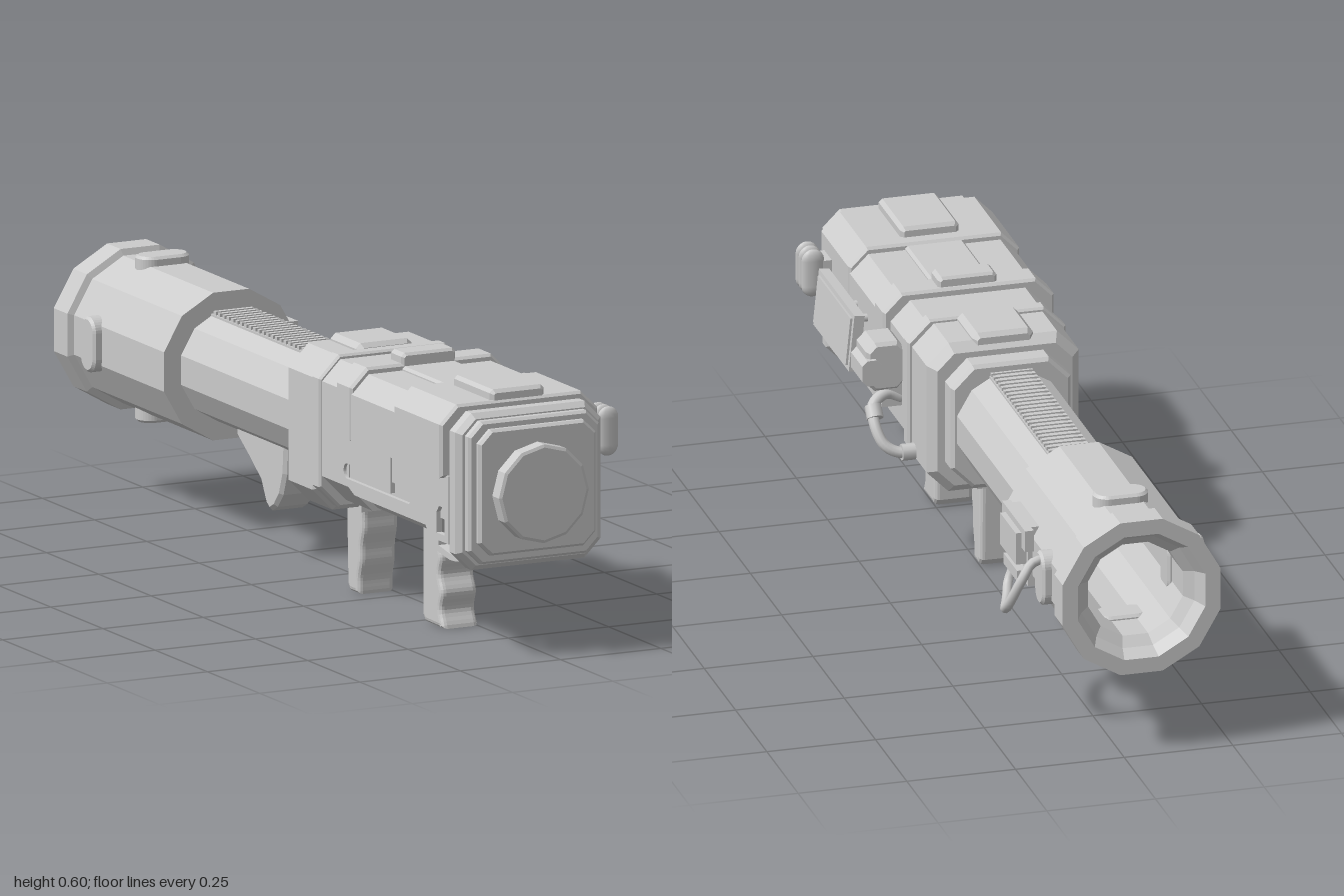
import * as THREE from 'three';

const CX = -0.04, CY = 0.379; // bore axis
const mat = new THREE.MeshStandardMaterial({ color: 0xcccccc });
const flat = new THREE.MeshStandardMaterial({ color: 0xcccccc, flatShading: true });

export function createModel() {
  const group = new THREE.Group();

  const add = (name, geo, m = mat) => {
    const mesh = new THREE.Mesh(geo, m);
    mesh.name = name;
    group.add(mesh);
    return mesh;
  };
  const poly = (pts) => new THREE.Shape(pts.map(([a, b]) => new THREE.Vector2(a, b)));

  // Box with chamfered long edges, running along z (ct, cb: top and bottom chamfers)
  const prism = (name, x0, x1, y0, y1, z0, z1, ct, cb = ct, bevel = 0) => {
    const shape = poly([[x0 + cb, y0], [x1 - cb, y0], [x1, y0 + cb], [x1, y1 - ct],
      [x1 - ct, y1], [x0 + ct, y1], [x0, y1 - ct], [x0, y0 + cb]]);
    const geo = new THREE.ExtrudeGeometry(shape, { depth: z1 - z0 - 2 * bevel, bevelEnabled: bevel > 0,
      bevelSize: bevel, bevelOffset: -bevel, bevelThickness: bevel, bevelSegments: 1 });
    geo.translate(0, 0, z0 + bevel);
    return add(name, geo);
  };
  // Side profile in (z, y), extruded across x
  const side = (name, shape, x0, x1, bevel = 0, segs = 1) => {
    const geo = new THREE.ExtrudeGeometry(shape, { depth: x1 - x0 - 2 * bevel, bevelEnabled: bevel > 0,
      bevelSize: bevel, bevelOffset: -bevel, bevelThickness: bevel, bevelSegments: segs, curveSegments: 8 });
    geo.rotateY(-Math.PI / 2);
    geo.translate(x1 - bevel, 0, 0);
    return add(name, geo);
  };
  const box = (name, x0, x1, y0, y1, z0, z1) => {
    const geo = new THREE.BoxGeometry(x1 - x0, y1 - y0, z1 - z0);
    geo.translate((x0 + x1) / 2, (y0 + y1) / 2, (z0 + z1) / 2);
    return add(name, geo);
  };
  // Twelve-sided turned part along z from [radius, z] points
  const turned = (name, pts, phase) => {
    const geo = new THREE.LatheGeometry(pts.map(([r, z]) => new THREE.Vector2(r, z)), 12, phase);
    geo.rotateX(Math.PI / 2);
    geo.translate(CX, CY, 0);
    return add(name, geo, flat);
  };
  const tube = (name, pts, r, sides = 8) => {
    const curve = new THREE.CatmullRomCurve3(pts.map((p) => new THREE.Vector3(...p)), false, 'centripetal');
    return add(name, new THREE.TubeGeometry(curve, 32, r, sides));
  };

  // Launch tube with flared rear and open bore
  turned('launchTube', [[0, -0.42], [0.113, -0.42], [0.113, -0.95], [0.135, -0.97], [0.152, -1],
    [0.188, -1], [0.188, -0.935], [0.173, -0.93], [0.173, -0.5], [0.129, -0.5], [0.129, 0.07]], Math.PI / 12);

  // Ribbed rail on top of the tube
  box('railBase', -0.09, 0.01, 0.47, 0.499, -0.5, 0.05);
  for (let i = 0; i < 26; i++) {
    const z = -0.492 + i * 0.021;
    box('railRib', -0.088, 0.008, 0.495, 0.507, z, z + 0.011);
  }

  // Four oblong studs around the rear tube, reaching into the bore
  for (let i = 0; i < 4; i++) {
    const s = new THREE.Shape();
    s.absarc(0.03, 0, 0.033, -Math.PI / 2, Math.PI / 2);
    s.absarc(-0.03, 0, 0.033, Math.PI / 2, Math.PI * 1.5);
    const geo = new THREE.ExtrudeGeometry(s, { depth: 0.076, bevelSize: 0.006, bevelOffset: -0.006,
      bevelThickness: 0.006, bevelSegments: 1, curveSegments: 8 });
    geo.rotateX(-Math.PI / 2);
    geo.translate(0, 0.106, 0);
    const stud = add('tubeStud', geo);
    stud.rotation.z = i * Math.PI / 2;
    stud.position.set(CX, CY, -0.83);
  }

  // Latch box and bent handle on the rear tube
  box('latchBase', 0.1, 0.138, 0.31, 0.45, -0.71, -0.56);
  box('latchBlock', 0.13, 0.163, 0.36, 0.435, -0.7, -0.575);
  box('latchLip', 0.13, 0.15, 0.4, 0.45, -0.73, -0.545);
  box('latchFoot', 0.13, 0.16, 0.32, 0.345, -0.7, -0.59);
  tube('rearHandle', [[0.14, 0.34, -0.625], [0.16, 0.295, -0.63], [0.175, 0.275, -0.67], [0.205, 0.285, -0.76],
    [0.213, 0.32, -0.82], [0.19, 0.39, -0.85], [0.165, 0.42, -0.84], [0.11, 0.425, -0.83]], 0.011);

  // Shoulder rest under the tube
  side('shoulderRest', poly([[-0.155, 0.27], [-0.16, 0.2], [-0.178, 0.15], [-0.205, 0.118], [-0.23, 0.105],
    [-0.25, 0.118], [-0.275, 0.165], [-0.33, 0.205], [-0.39, 0.245], [-0.39, 0.27]]), -0.085, 0.005, 0.008);

  // Receiver sections from the tube forward
  prism('tubeCollar', -0.178, 0.098, 0.235, 0.527, 0.04, 0.1, 0.05, 0.05, 0.008);
  prism('rearReceiver', -0.215, 0.135, 0.205, 0.56, 0.09, 0.245, 0.05, 0.05, 0.02);
  prism('rearReceiverPad', -0.11, 0.03, 0.5, 0.576, 0.1, 0.24, 0.012, 0, 0.01);
  prism('seamRing', -0.222, 0.142, 0.22, 0.565, 0.235, 0.272, 0.05, 0.05, 0.005);
  prism('midReceiver', -0.215, 0.14, 0.235, 0.555, 0.265, 0.4, 0.045, 0.06);
  prism('lowerBody', -0.212, 0.134, 0.24, 0.5, 0.37, 0.9, 0.01, 0.07);
  prism('upperCoverFront', -0.237, 0.157, 0.41, 0.573, 0.655, 0.88, 0.042, 0, 0.006);
  prism('upperCoverMiddle', -0.234, 0.154, 0.41, 0.558, 0.44, 0.665, 0.042, 0);
  prism('upperCoverRear', -0.237, 0.157, 0.41, 0.573, 0.38, 0.45, 0.042, 0, 0.006);
  prism('topPadFront', -0.108, 0.027, 0.55, 0.596, 0.69, 0.875, 0.008, 0, 0.008);
  prism('topPadRear', -0.108, 0.027, 0.55, 0.596, 0.39, 0.45, 0.008, 0, 0.006);
  prism('topPadMiddle', -0.108, 0.027, 0.54, 0.567, 0.45, 0.69, 0.006, 0);

  // Side panels with a long slot and a small window
  for (const [x0, x1] of [[0.13, 0.144], [-0.222, -0.208]]) {
    const panel = poly([[0.385, 0.31], [0.44, 0.285], [0.78, 0.285], [0.8, 0.262], [0.89, 0.262],
      [0.89, 0.415], [0.385, 0.415]]);
    const slot = new THREE.Path();
    slot.absarc(0.695, 0.333, 0.017, -Math.PI / 2, Math.PI / 2);
    slot.absarc(0.405, 0.333, 0.017, Math.PI / 2, Math.PI * 1.5);
    const win = new THREE.Path([[0.832, 0.278], [0.832, 0.325], [0.845, 0.34], [0.87, 0.34], [0.87, 0.278]]
      .map(([a, b]) => new THREE.Vector2(a, b)));
    panel.holes.push(slot, win);
    side('sidePanel', panel, x0, x1);
  }
  box('leftCatch', -0.226, -0.215, 0.325, 0.41, 0.5, 0.62);

  // Stepped front end and muzzle plug
  prism('frontPlate', -0.22, 0.142, 0.205, 0.56, 0.88, 0.93, 0.04, 0.04, 0.012);
  prism('frontStep', -0.202, 0.124, 0.222, 0.545, 0.92, 0.95, 0.032, 0.032, 0.006);
  prism('frontInnerStep', -0.184, 0.108, 0.243, 0.528, 0.94, 0.965, 0.03, 0.03, 0.006);
  turned('muzzlePlug', [[0.112, 0.94], [0.112, 0.997], [0.105, 1], [0, 1]], 0);

  // Underside housing and trigger group
  side('undersideHousing', poly([[0.27, 0.28], [0.27, 0.23], [0.36, 0.225], [0.4, 0.245], [0.47, 0.245],
    [0.5, 0.222], [0.63, 0.222], [0.66, 0.25], [0.76, 0.25], [0.79, 0.235], [0.86, 0.235], [0.88, 0.28]]),
    -0.11, 0.03, 0.005);
  const guard = new THREE.Shape();
  guard.moveTo(0.59, 0.255);
  guard.lineTo(0.59, 0.18);
  guard.lineTo(0.66, 0.17);
  guard.quadraticCurveTo(0.74, 0.17, 0.75, 0.21);
  guard.lineTo(0.735, 0.255);
  const gap = new THREE.Path();
  gap.moveTo(0.608, 0.245);
  gap.lineTo(0.723, 0.245);
  gap.lineTo(0.735, 0.212);
  gap.quadraticCurveTo(0.728, 0.185, 0.66, 0.184);
  gap.lineTo(0.608, 0.193);
  guard.holes.push(gap);
  side('triggerGuard', guard, -0.1, 0.015);
  side('trigger', poly([[0.66, 0.25], [0.668, 0.215], [0.655, 0.195], [0.648, 0.198], [0.65, 0.22],
    [0.635, 0.25]]), -0.055, -0.028);

  // Grips with finger grooves on the front edge
  const grip = (name, zTop, zBottom, backTop, backBottom, top, depth) => {
    const pts = [[backTop, top], [backBottom, 0.015], [backBottom + 0.012, 0]];
    for (let i = 0; i <= 30; i++) {
      const t = i / 30;
      pts.push([zBottom + (zTop - zBottom) * t - depth * (1 - Math.cos(t * Math.PI * 6)) / 2, t * top]);
    }
    side(name, poly(pts), -0.088, 0.002, 0.012, 3);
  };
  grip('mainGrip', 0.59, 0.605, 0.505, 0.505, 0.24, 0.012);
  grip('foreGrip', 0.232, 0.2, 0.138, 0.145, 0.22, 0.004);
  box('foreGripBase', -0.1, 0.015, 0.195, 0.215, 0.125, 0.24);

  // Fold-out screen on pins
  const screen = box('screenPanel', -0.012, 0.012, -0.066, 0.066, -0.142, 0.142);
  const glass = box('screenFace', 0.012, 0.017, -0.055, 0.055, -0.13, 0.13);
  for (const m of [screen, glass]) {
    m.position.set(0.206, 0.448, 0.562);
    m.rotation.z = 0.1;
  }
  for (const z of [0.52, 0.6]) {
    const pin = add('screenPin', new THREE.CylinderGeometry(0.009, 0.009, 0.07, 10));
    pin.rotation.z = Math.PI / 2;
    pin.position.set(0.173, 0.465, z);
  }

  // Ribbed side knob
  for (let i = 0; i < 3; i++) {
    const disc = add('sideKnobRib', new THREE.CapsuleGeometry(0.026, 0.06, 5, 12));
    disc.scale.z = 0.42;
    disc.position.set(0.199, 0.467, 0.796 + i * 0.024);
  }
  box('sideKnobMount', 0.14, 0.19, 0.44, 0.495, 0.79, 0.85);

  // Connector box and cable
  prism('connectorBox', 0.13, 0.222, 0.385, 0.5, 0.285, 0.375, 0.02, 0.02, 0.008);
  prism('connectorCap', 0.19, 0.235, 0.405, 0.465, 0.275, 0.365, 0.012);
  box('connectorFoot', 0.13, 0.185, 0.345, 0.4, 0.29, 0.37);
  tube('cable', [[0.14, 0.36, 0.3], [0.175, 0.375, 0.295], [0.21, 0.36, 0.275], [0.215, 0.325, 0.245],
    [0.2, 0.285, 0.22], [0.17, 0.268, 0.21], [0.12, 0.268, 0.205]], 0.013, 10);
  for (const [x, y, z] of [[0.212, 0.348, 0.262], [0.15, 0.268, 0.207]]) {
    const plug = add('cablePlug', new THREE.CylinderGeometry(0.019, 0.019, 0.03, 10));
    plug.position.set(x, y, z);
    if (x < 0.2) plug.rotation.z = Math.PI / 2;
    else plug.rotation.x = 0.7;
  }
  return group;
}
